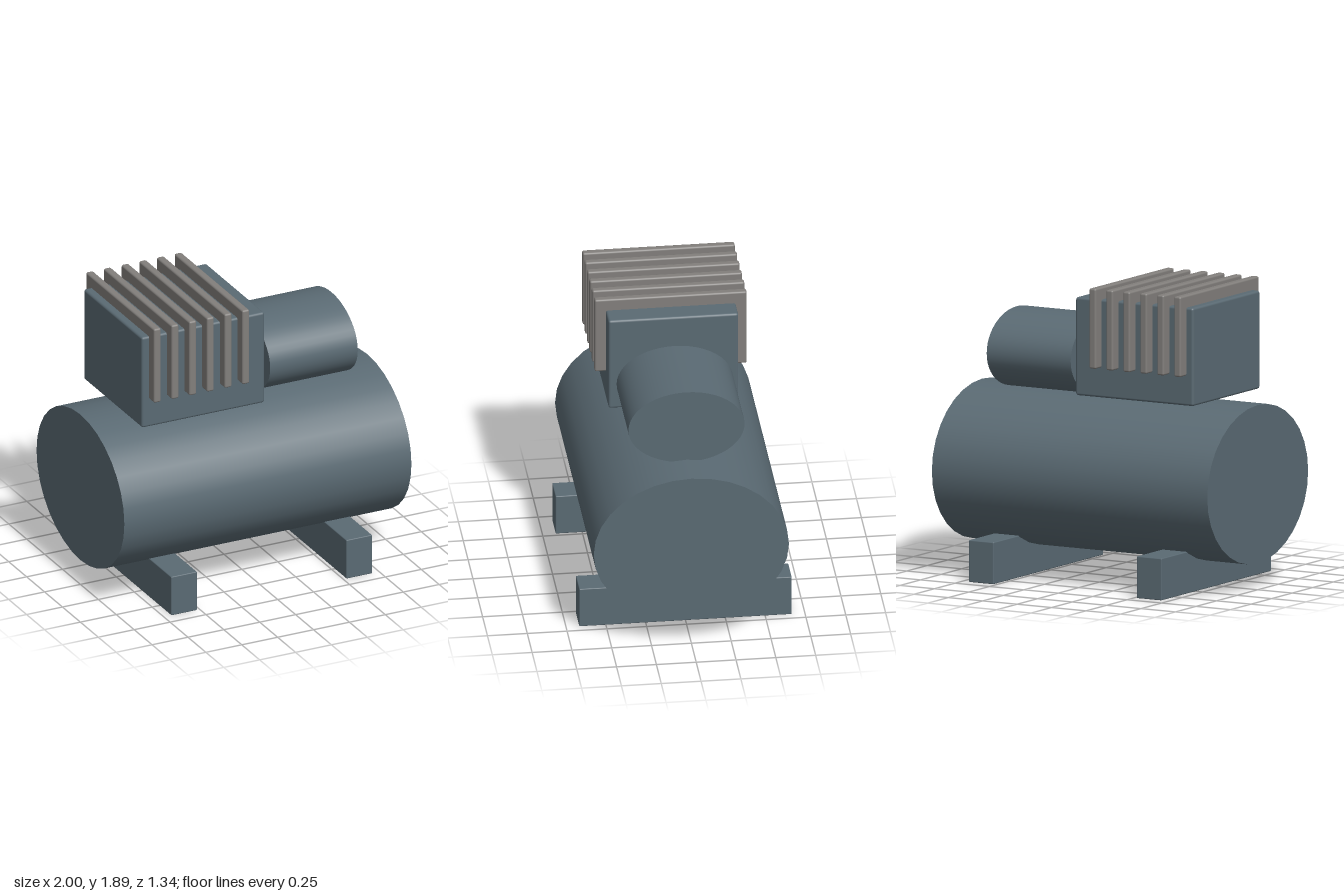
import * as THREE from 'three';
import { RoundedBoxGeometry } from 'three/addons/geometries/RoundedBoxGeometry.js';

export function createModel() {
  const model = new THREE.Group();
  model.name = 'airCompressor';

  const paint = new THREE.MeshStandardMaterial({ color: 0x5a6a73 });
  paint.name = 'slate blue paint';
  const metal = new THREE.MeshStandardMaterial({ color: 0x827f7c });
  metal.name = 'warm grey metal';

  const add = (name, geometry, material, x, y, z = 0) => {
    const mesh = new THREE.Mesh(geometry, material);
    mesh.name = name;
    mesh.position.set(x, y, z);
    model.add(mesh);
  };

  // Elliptical drum lying along x
  const drum = (length, ry, rz, sides) =>
    new THREE.CylinderGeometry(1, 1, length, sides).rotateZ(Math.PI / 2).scale(1, ry, rz);

  const block = (w, h, d, r) => new RoundedBoxGeometry(w, h, d, 2, r);

  // Air tank and motor
  add('tank', drum(2, 0.5, 0.613, 32), paint, 0, 0.667);
  add('motor', drum(0.61, 0.247, 0.365, 48), paint, 0.445, 1.398);

  // Cross feet under the tank
  for (const side of [-1, 1]) {
    add(side > 0 ? 'leftFoot' : 'rightFoot', block(0.18, 0.265, 1.335, 0.006), paint, side * 0.61, 0.1325);
  }

  // Pump head with its row of cooling fins
  add('pumpHead', block(0.855, 0.62, 0.816, 0.015), paint, -0.347, 1.505);
  for (let i = 0; i < 6; i++) {
    add('coolingFin' + (i + 1), block(0.05, 0.507, 0.956, 0.012), metal, -0.7 + i * 0.1232, 1.638);
  }

  return model;
}
